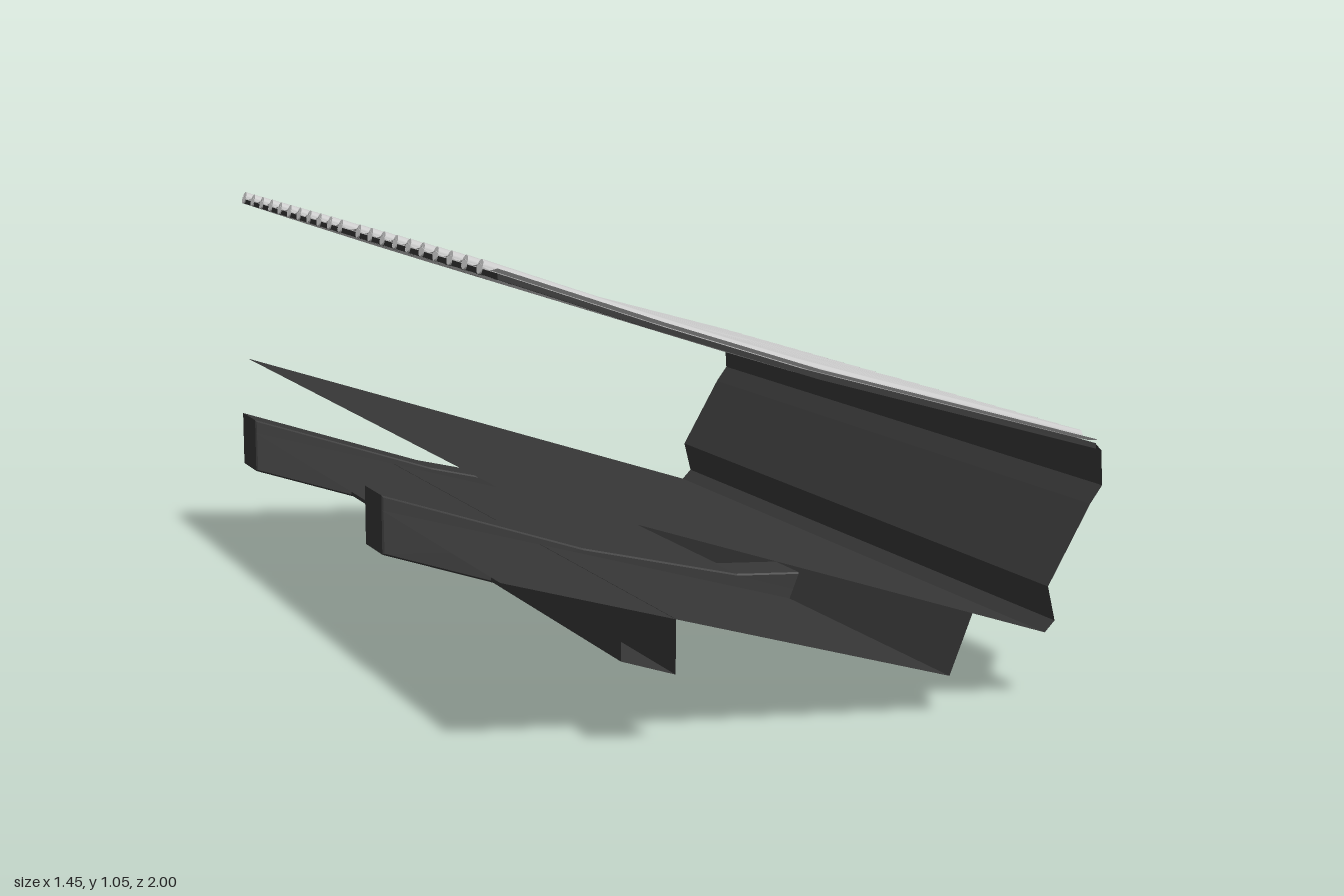
import * as THREE from 'three';

const Z_FRONT = 1, Z_BACK = -0.93;
const tileMat = new THREE.MeshStandardMaterial({ color: 0xcccccc, side: THREE.DoubleSide });
const darkMat = new THREE.MeshStandardMaterial({ color: 0x383838, side: THREE.DoubleSide, flatShading: true });

// Centre line of the roof slope, as [x, y]
const SLOPE = [[-0.72, 1.036], [-0.36, 0.91], [0, 0.791], [0.36, 0.688], [0.72, 0.585]];

function add(group, name, geometry, material) {
  const mesh = new THREE.Mesh(geometry, material);
  mesh.name = name;
  group.add(mesh);
  return mesh;
}

// Surface spanned between successive cross-sections of equal length
function loft(sections) {
  const n = sections[0].length, index = [];
  for (let i = 0; i < sections.length - 1; i++) {
    for (let j = 0; j < n - 1; j++) {
      const a = i * n + j, b = a + n;
      index.push(a, b, a + 1, a + 1, b, b + 1);
    }
  }
  const g = new THREE.BufferGeometry();
  g.setAttribute('position', new THREE.Float32BufferAttribute(sections.flat(2), 3));
  g.setIndex(index);
  g.computeVertexNormals();
  return g;
}

// Thin open sheet: an x-y profile swept along z
function sheet(profile) {
  return loft([Z_BACK, Z_FRONT].map(z => profile.map(([x, y]) => [x, y, z])));
}

function prism(profile, depth, bevel = 0) {
  const shape = new THREE.Shape(profile.map(([x, y]) => new THREE.Vector2(x, y)));
  const g = new THREE.ExtrudeGeometry(shape, {
    depth: depth - 2 * bevel, bevelEnabled: bevel > 0, bevelSize: bevel,
    bevelThickness: bevel, bevelOffset: -bevel, bevelSegments: 1,
  });
  g.translate(0, 0, bevel);
  return g;
}

export function createModel() {
  const model = new THREE.Group();
  model.name = 'eavesSection';

  // Ribs: two panels of evenly spaced rolls with a wider gap between them
  const ribs = [];
  for (let i = 0; i < 10; i++) ribs.push(0.9 - i * 0.09);
  for (let i = 0; i < 11; i++) ribs.push(-0.05 - i * 0.0873);

  const roof = new THREE.Group();
  roof.name = 'roof';
  model.add(roof);

  const path = new THREE.CatmullRomCurve3(SLOPE.map(([x, y]) => new THREE.Vector3(x, y, 0)));
  const roll = new THREE.TubeGeometry(path, 8, 0.0155, 12);
  const cap = new THREE.CircleGeometry(0.0155, 12);
  for (const z of ribs) {
    add(roof, 'tileRoll', roll, tileMat).position.z = z;
    for (const t of [0, 1]) {
      const end = add(roof, 'tileRollEnd', cap, tileMat);
      const dir = path.getTangent(t).multiplyScalar(t ? 1 : -1);
      end.quaternion.setFromUnitVectors(new THREE.Vector3(0, 0, 1), dir);
      end.position.copy(path.getPoint(t)).setZ(z);
    }
  }

  // Hollow pans sagging between the rolls
  const edges = [Z_FRONT, ...ribs, Z_BACK - 0.005];
  const pan = [];
  for (let i = 0; i < edges.length - 1; i++) {
    for (let k = 0; k < 6; k++) {
      const t = k / 6;
      pan.push([THREE.MathUtils.lerp(edges[i], edges[i + 1], t), 0.006 - 0.008 * Math.sin(Math.PI * t)]);
    }
  }
  pan.push([edges[edges.length - 1], 0.006]);
  const panSections = SLOPE.map(([x, y], i) => {
    const last = i === SLOPE.length - 1;
    return pan.map(([z, h]) => [last ? 0.705 : x, (last ? 0.589 : y) + h, z]);
  });
  add(roof, 'tilePans', loft(panSections), tileMat);

  // Dark deck under the tiles
  const deckLine = [...SLOPE.slice(0, -1), [0.7, 0.591]];
  const deck = prism([
    ...deckLine.map(([x, y]) => [x, y - 0.016]),
    ...deckLine.map(([x, y]) => [x, y - 0.004]).reverse(),
  ], Z_FRONT - Z_BACK);
  deck.translate(0, 0, Z_BACK);
  add(roof, 'roofDeck', deck, darkMat);

  // Moulded fascia closing the eave
  add(model, 'fascia', sheet([
    [0.7, 0.585], [0.715, 0.57], [0.72, 0.49], [0.69, 0.45],
    [0.585, 0.27], [0.605, 0.19], [0.58, 0.165],
  ]), darkMat);

  // Sloping boards and the channel below them
  add(model, 'upperBoard', sheet([[-0.72, 0.6], [0.58, 0.165]]), darkMat);
  add(model, 'lowerBoard', sheet([[-0.72, 0.405], [0.335, 0.092], [0.39, 0.228]]), darkMat);
  add(model, 'purlin', sheet([[-0.455, 0.325], [-0.455, 0.212], [-0.33, 0.17], [-0.33, 0.29]]), darkMat);

  // Bent rafters
  const rafter = prism([
    [-0.72, 0.3], [-0.28, 0.15], [0.14, 0.042], [0.66, 0], [0.67, 0.01],
    [0.67, 0.125], [0.66, 0.136], [0.19, 0.168], [-0.22, 0.27], [-0.72, 0.44],
  ], 0.132, 0.004);
  for (const z of [0.1, -1]) add(model, 'rafter', rafter, darkMat).position.z = z;

  return model;
}
